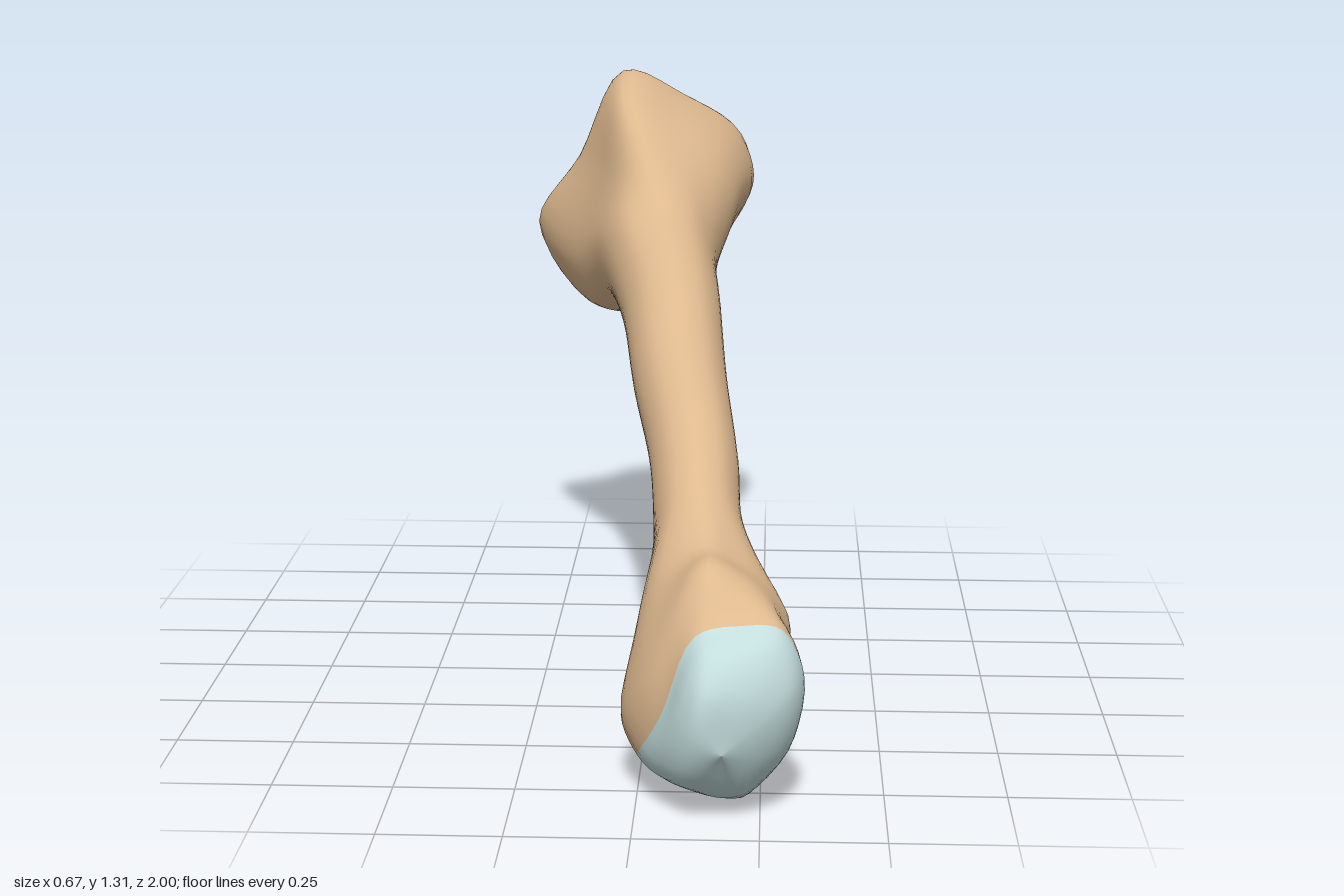
import * as THREE from 'three';

const K = 10;        // control points per cross-section, from the top towards +x
const COLS = 50;     // vertices around
const STEPS = 5;     // rows between two cross-sections

const toPoints = (rows) => rows.map((p) => new THREE.Vector3(...p));

// Oval shaft section, tilted to stand square to the sloping axis
function oval(x, y, z, rx, r) {
  return Array.from({ length: K }, (_, k) => {
    const a = (k / K) * Math.PI * 2;
    const up = Math.cos(a) * r;
    return new THREE.Vector3(x + Math.sin(a) * rx, y + up * 0.92, z + up * 0.4);
  });
}

const around = (points) => {
  const curve = new THREE.CatmullRomCurve3(points, true);
  return Array.from({ length: COLS }, (_, i) => curve.getPoint(i / COLS));
};

// Flared base, from the notched joint rim towards the shaft
const baseSections = [
  [[-0.115, 1.295, -0.775], [0.02, 1.23, -0.86], [0.135, 1.155, -0.935], [0.11, 1.02, -0.97], [-0.01, 0.93, -1.0],
    [-0.09, 0.91, -0.95], [-0.17, 0.79, -1.0], [-0.265, 0.82, -0.98], [-0.325, 0.92, -0.89], [-0.21, 1.11, -0.825]],
  [[-0.11, 1.31, -0.73], [0.04, 1.245, -0.79], [0.18, 1.14, -0.86], [0.205, 1.01, -0.88], [0.12, 0.9, -0.9],
    [-0.03, 0.85, -0.86], [-0.13, 0.735, -0.92], [-0.24, 0.74, -0.92], [-0.335, 0.91, -0.87], [-0.225, 1.085, -0.77]],
  [[-0.1, 1.245, -0.58], [0.03, 1.19, -0.59], [0.14, 1.11, -0.61], [0.18, 1.02, -0.64], [0.125, 0.87, -0.64],
    [0.0, 0.77, -0.66], [-0.08, 0.718, -0.67], [-0.18, 0.735, -0.68], [-0.225, 0.86, -0.65], [-0.16, 1.07, -0.6]],
].map(toPoints);

const shaftSections = [
  oval(-0.01, 0.888, -0.45, 0.14, 0.18),
  oval(0.03, 0.815, -0.2, 0.115, 0.145),
  oval(0.06, 0.7, 0.05, 0.105, 0.128),
  oval(0.1, 0.578, 0.305, 0.095, 0.12),
  oval(0.115, 0.465, 0.46, 0.095, 0.13),
];

// Swollen neck of the head, ending at the edge of the cartilage
const headSections = [
  [[0.13, 0.5, 0.67], [0.2, 0.47, 0.66], [0.27, 0.41, 0.66], [0.305, 0.34, 0.66], [0.24, 0.27, 0.56],
    [0.18, 0.24, 0.52], [0.12, 0.22, 0.51], [0.06, 0.23, 0.52], [-0.005, 0.28, 0.61], [0.025, 0.42, 0.66]],
  [[0.13, 0.49, 0.78], [0.2, 0.47, 0.78], [0.275, 0.41, 0.78], [0.305, 0.3, 0.75], [0.29, 0.19, 0.7],
    [0.24, 0.13, 0.59], [0.16, 0.12, 0.535], [0.05, 0.145, 0.555], [-0.035, 0.155, 0.72], [0.02, 0.29, 0.82]],
  [[0.12, 0.38, 0.89], [0.21, 0.4, 0.88], [0.29, 0.39, 0.87], [0.335, 0.29, 0.86], [0.31, 0.14, 0.83],
    [0.25, 0.065, 0.7], [0.18, 0.06, 0.55], [0.06, 0.105, 0.565], [0.0, 0.09, 0.77], [0.055, 0.22, 0.89]],
].map(toPoints);

// Domed cartilage, closing to a single point
const cartilageSections = [
  [[0.13, 0.345, 0.95], [0.2, 0.36, 0.945], [0.28, 0.345, 0.925], [0.315, 0.27, 0.92], [0.29, 0.13, 0.885],
    [0.22, 0.015, 0.77], [0.17, 0.008, 0.67], [0.1, 0.035, 0.69], [0.05, 0.075, 0.85], [0.085, 0.215, 0.955]],
  [[0.14, 0.28, 0.993], [0.19, 0.285, 0.985], [0.24, 0.27, 0.972], [0.262, 0.225, 0.96], [0.25, 0.14, 0.935],
    [0.215, 0.055, 0.885], [0.18, 0.035, 0.86], [0.14, 0.05, 0.88], [0.105, 0.1, 0.935], [0.118, 0.19, 0.985]],
  Array.from({ length: K }, () => [0.175, 0.17, 0.985]),
].map(toPoints);

export function createModel() {
  const group = new THREE.Group();
  group.name = 'footBone';
  const boneMaterial = new THREE.MeshStandardMaterial({ color: 0xdeb98f });
  const cartilageMaterial = new THREE.MeshStandardMaterial({ color: 0xc3dcdc });
  const add = (name, geometry, material) => {
    const mesh = new THREE.Mesh(geometry, material);
    mesh.name = name;
    group.add(mesh);
  };

  // One smooth skin through all the sections
  const boneSections = [...baseSections, ...shaftSections, ...headSections];
  const rings = [...boneSections, ...cartilageSections].map(around);
  const rows = (rings.length - 1) * STEPS;
  const columns = Array.from({ length: COLS }, (_, i) => new THREE.CatmullRomCurve3(rings.map((r) => r[i])));
  const skinPoints = [];
  for (let j = 0; j <= rows; j++) {
    for (let i = 0; i < COLS; i++) skinPoints.push(columns[i].getPoint(j / rows));
  }
  const strip = (from, to) => {
    const index = [];
    for (let j = from; j < to; j++) {
      for (let i = 0; i < COLS; i++) {
        const n = (i + 1) % COLS;
        const a = j * COLS + i, b = j * COLS + n;
        index.push(a, a + COLS, b, b, a + COLS, b + COLS);
      }
    }
    return index;
  };
  const skin = new THREE.BufferGeometry().setFromPoints(skinPoints);
  skin.setIndex(strip(0, rows));
  skin.computeVertexNormals();

  // The skin is split where bone meets cartilage, keeping shared normals
  const split = (boneSections.length - 1) * STEPS;
  const bone = skin.clone();
  bone.setIndex(strip(0, split));
  add('bone', bone, boneMaterial);
  const cap = skin.clone();
  cap.setIndex(strip(split, rows));
  add('headCartilage', cap, cartilageMaterial);

  // Slightly hollow joint face closing the base
  const centre = new THREE.Vector3(-0.09, 1.01, -0.89);
  const face = new THREE.BufferGeometry().setFromPoints([centre, ...rings[0]]);
  const fan = [];
  for (let i = 0; i < COLS; i++) fan.push(0, i + 1, ((i + 1) % COLS) + 1);
  face.setIndex(fan);
  face.computeVertexNormals();
  add('baseCartilage', face, cartilageMaterial);

  return group;
}
